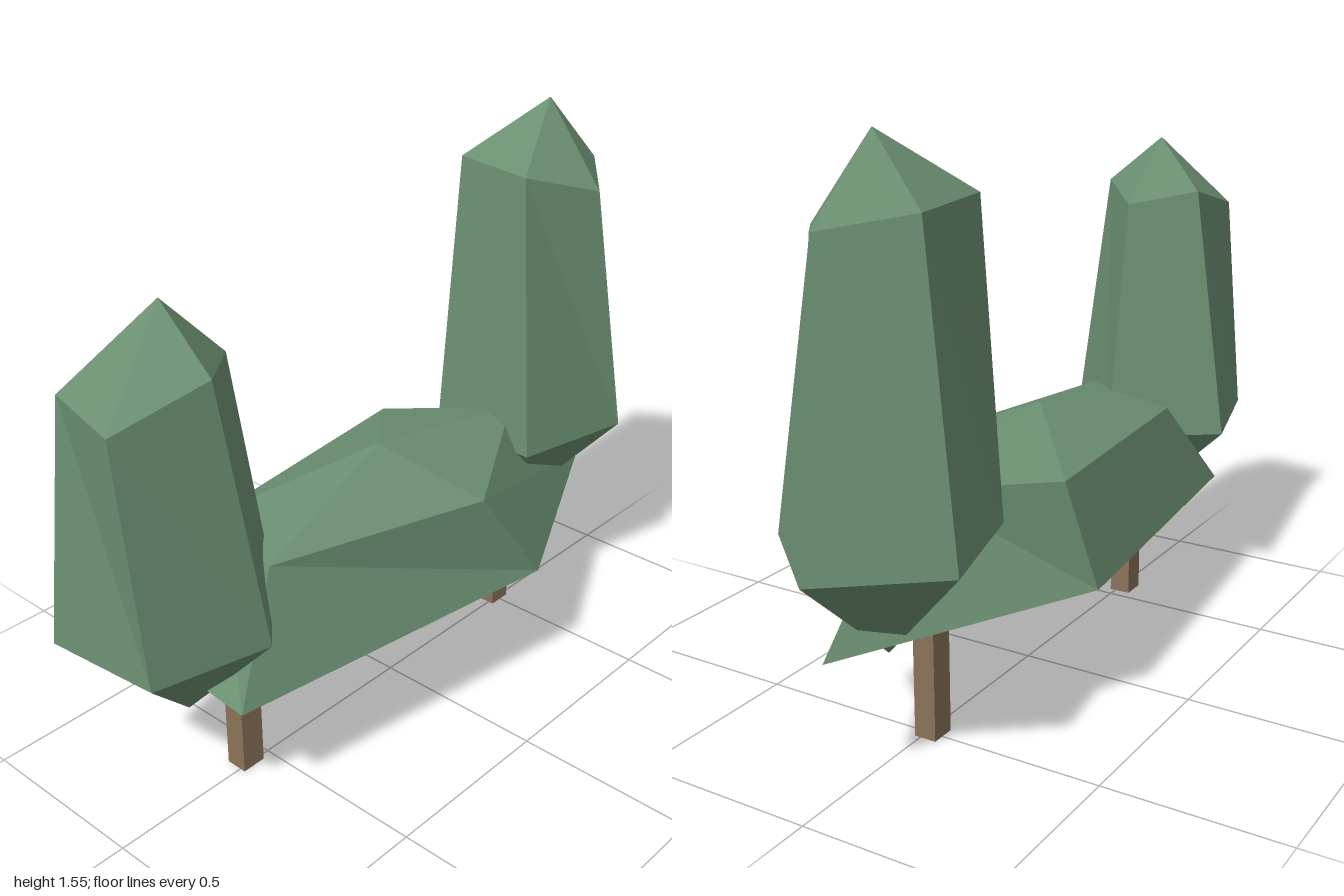
import * as THREE from 'three';

const leaf = new THREE.MeshStandardMaterial({ color: 0x6b8f71, flatShading: true });
leaf.name = 'leaf green';
const bark = new THREE.MeshStandardMaterial({ color: 0x8b7359, flatShading: true });
bark.name = 'bark brown';

// Faceted clump: bottom point, wide five-sided ring, upper ring, top point.
// Rings run front-left, front, right, back, back-left.
function clump(name, bottom, lower, upper, top) {
  const n = lower.length;
  const corners = [];
  for (let i = 0; i < n; i++) {
    const j = (i + 1) % n;
    corners.push(
      lower[j], lower[i], bottom,
      lower[i], lower[j], upper[i],
      upper[i], lower[j], upper[j],
      upper[i], upper[j], top
    );
  }
  const geometry = new THREE.BufferGeometry();
  geometry.setAttribute('position', new THREE.Float32BufferAttribute(corners.flat(), 3));
  geometry.computeVertexNormals();
  const mesh = new THREE.Mesh(geometry, leaf);
  mesh.name = name;
  return mesh;
}

// Level ring at height y from [x, z] pairs
const ring = (y, points) => points.map(([x, z]) => [x, y, z]);

export function createModel() {
  const group = new THREE.Group();
  group.name = 'shapedHedge';

  // Long low middle
  group.add(clump('hedgeBody',
    [-0.03, 0.22, -0.01],
    ring(0.365, [[-0.75, 0.19], [0.245, 0.335], [0.905, 0], [0.22, -0.34], [-0.72, -0.24]]),
    [[-0.555, 0.66, 0.1], [0.07, 0.64, 0.27], [0.52, 0.665, 0.01], [0.27, 0.66, -0.27], [-0.45, 0.65, -0.2]],
    [-0.03, 0.75, -0.02]));

  // Taller tower on the +x end
  group.add(clump('tallTower',
    [0.68, 0.305, -0.02],
    ring(0.59, [[0.415, 0.155], [0.77, 0.23], [0.995, -0.02], [0.775, -0.29], [0.43, -0.19]]),
    [[0.48, 1.385, 0.06], [0.675, 1.325, 0.17], [0.87, 1.35, 0.015], [0.74, 1.39, -0.185], [0.49, 1.4, -0.17]],
    [0.68, 1.555, -0.015]));

  // Shorter tower on the -x end
  group.add(clump('shortTower',
    [-0.74, 0.275, -0.02],
    ring(0.53, [[-0.97, 0.135], [-0.66, 0.21], [-0.445, -0.01], [-0.645, -0.29], [-1, -0.19]]),
    [[-0.98, 1.165, 0.07], [-0.75, 1.25, 0.155], [-0.57, 1.21, 0], [-0.66, 1.25, -0.18], [-0.935, 1.18, -0.16]],
    [-0.74, 1.39, -0.02]));

  // Square stems
  for (const [name, x] of [['rightStem', -0.565], ['leftStem', 0.497]]) {
    const stem = new THREE.Mesh(new THREE.BoxGeometry(0.07, 0.42, 0.062), bark);
    stem.name = name;
    stem.position.set(x, 0.21, -0.015);
    group.add(stem);
  }
  return group;
}
